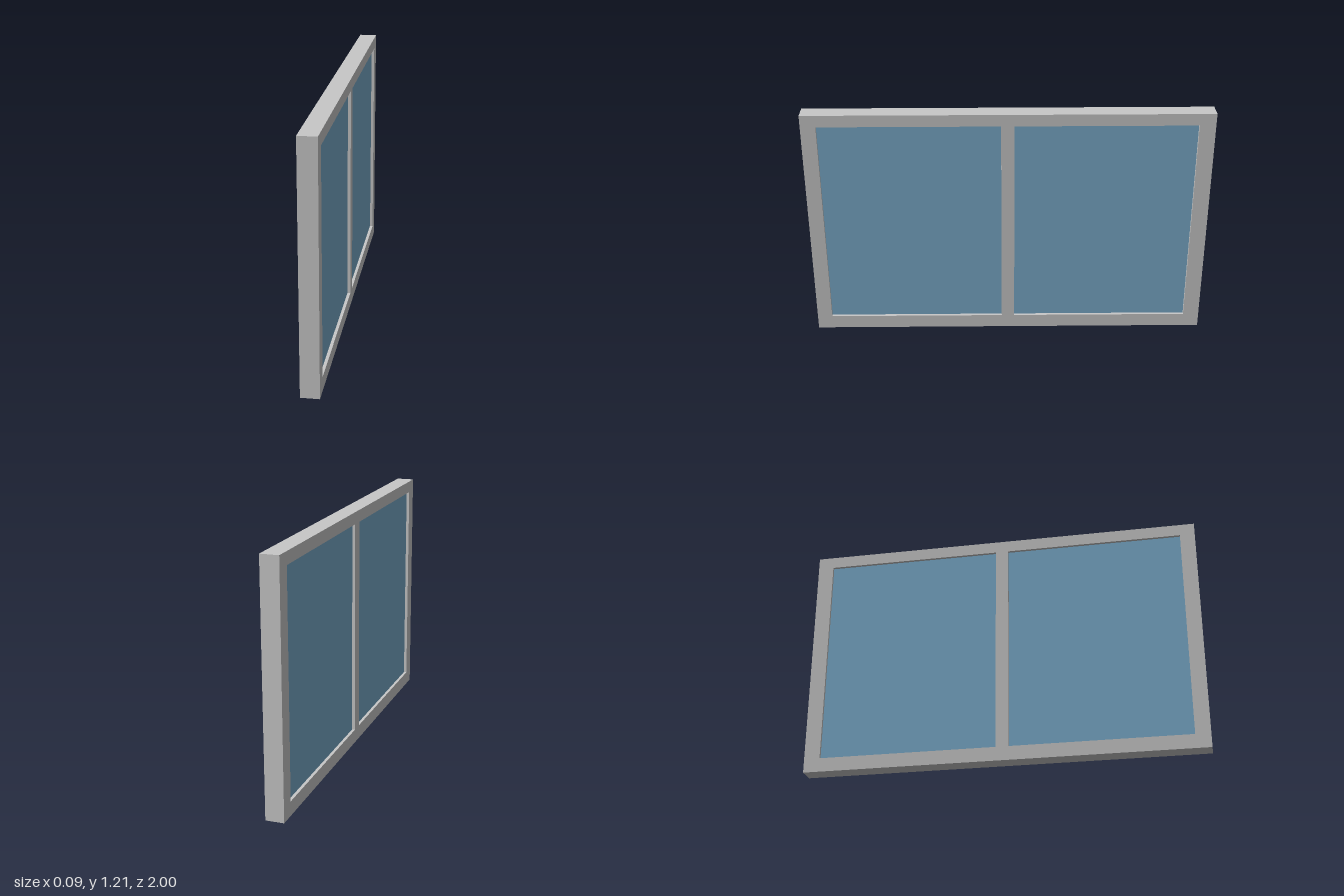
import * as THREE from 'three';

const HEIGHT = 1.21, DEPTH = 0.09, PANE_DEPTH = 0.06;
const BOTTOM = 0.07, TOP = 1.15;
// [zMin, zMax] of each opening
const OPENINGS = [[0.035, 0.925], [-0.92, -0.03]];

// Adds a closed rectangle to a shape or path
function rect(path, x0, x1, y0, y1) {
  path.moveTo(x0, y0);
  path.lineTo(x1, y0);
  path.lineTo(x1, y1);
  path.lineTo(x0, y1);
  path.closePath();
  return path;
}

export function createModel() {
  const frameMaterial = new THREE.MeshStandardMaterial({ name: 'frameGrey', color: 0xc8c8c8 });
  const glassMaterial = new THREE.MeshStandardMaterial({ name: 'glassBlue', color: 0x7aabca });
  const group = new THREE.Group();
  group.name = 'window';

  // Frame with central mullion: one outline with two openings, extruded along x
  const outline = rect(new THREE.Shape(), -1, 1, 0, HEIGHT);
  for (const [z0, z1] of OPENINGS) outline.holes.push(rect(new THREE.Path(), z0, z1, BOTTOM, TOP));
  const frameGeometry = new THREE.ExtrudeGeometry(outline, { depth: DEPTH, bevelEnabled: false });
  frameGeometry.translate(0, 0, -DEPTH / 2).rotateY(-Math.PI / 2);
  const frame = new THREE.Mesh(frameGeometry, frameMaterial);
  frame.name = 'frame';
  group.add(frame);

  // Glass panes, slightly recessed on both faces
  OPENINGS.forEach(([z0, z1], i) => {
    const pane = new THREE.Mesh(new THREE.BoxGeometry(PANE_DEPTH, TOP - BOTTOM, z1 - z0), glassMaterial);
    pane.position.set(0, (TOP + BOTTOM) / 2, (z0 + z1) / 2);
    pane.name = i === 0 ? 'frontPane' : 'backPane';
    group.add(pane);
  });

  return group;
}
